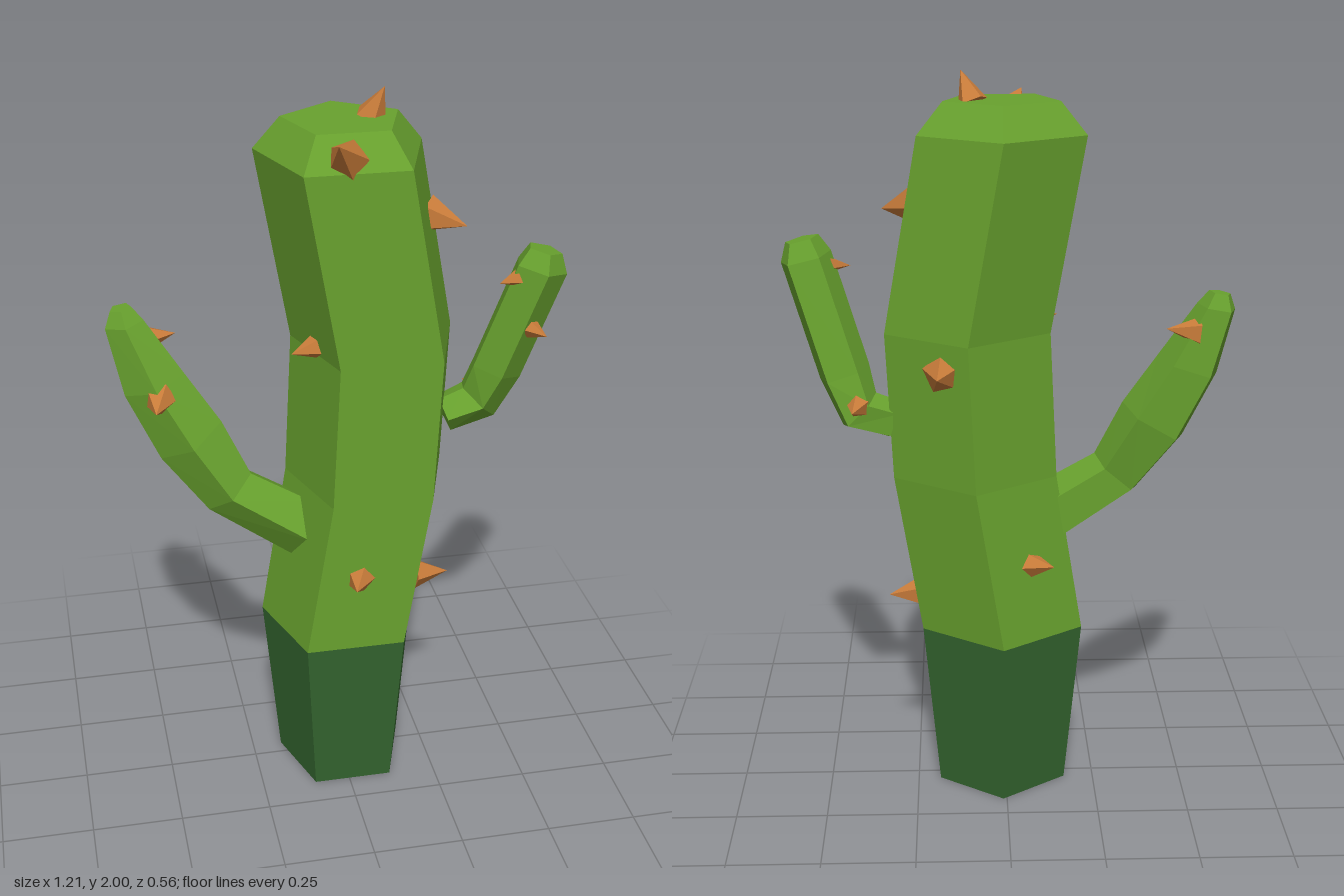
import * as THREE from 'three';

const green = new THREE.MeshStandardMaterial({ color: 0x68a12e });
green.name = 'cactus green';
const darkGreen = new THREE.MeshStandardMaterial({ color: 0x34652f });
darkGreen.name = 'dark base green';
const brown = new THREE.MeshStandardMaterial({ color: 0xc97c3a });
brown.name = 'spike brown';

const SIDES = 5;

// Faceted stem through rings of [x, y, z, radius, tilt in degrees]; both ends are capped.
function stem(rings, turn) {
  const pos = [];
  const tri = (...pts) => pts.forEach(p => pos.push(p.x, p.y, p.z));
  const centre = ([x, y, z]) => new THREE.Vector3(x, y, z);
  const loops = rings.map(([x, y, z, r, tilt = 0]) => {
    const t = THREE.MathUtils.degToRad(tilt);
    return Array.from({ length: SIDES }, (_, j) => {
      const a = turn + (j / SIDES) * Math.PI * 2;
      const u = r * Math.cos(a);
      return new THREE.Vector3(x + u * Math.cos(t), y + u * Math.sin(t), z + r * Math.sin(a));
    });
  });
  const last = loops.length - 1;
  for (let j = 0; j < SIDES; j++) {
    const k = (j + 1) % SIDES;
    for (let i = 0; i < last; i++) {
      const lo = loops[i], hi = loops[i + 1];
      tri(lo[j], hi[j], hi[k]);
      tri(lo[j], hi[k], lo[k]);
    }
    tri(centre(rings[0]), loops[0][j], loops[0][k]);
    tri(centre(rings[last]), loops[last][k], loops[last][j]);
  }
  const geo = new THREE.BufferGeometry();
  geo.setAttribute('position', new THREE.Float32BufferAttribute(pos, 3));
  geo.computeVertexNormals();
  return geo;
}

// Five-sided cone from a base point to a tip.
function spike(base, tip, radius) {
  const a = new THREE.Vector3(...base), b = new THREE.Vector3(...tip);
  const dir = b.clone().sub(a), len = dir.length();
  const geo = new THREE.ConeGeometry(radius, len, SIDES).toNonIndexed();
  geo.computeVertexNormals();
  const mesh = new THREE.Mesh(geo, brown);
  mesh.position.copy(a).add(b).multiplyScalar(0.5);
  mesh.quaternion.setFromUnitVectors(new THREE.Vector3(0, 1, 0), dir.normalize());
  return mesh;
}

export function createModel() {
  const group = new THREE.Group();
  const add = (name, geo, mat) => {
    const mesh = new THREE.Mesh(geo, mat);
    mesh.name = name;
    group.add(mesh);
  };
  const edgeBack = -Math.PI / 2, edgeFront = Math.PI / 2;

  // Dark foot and gently bent trunk with a bevelled top
  add('trunkBase', stem([
    [0.01, 0, 0.015, 0.186],
    [0.01, 0.475, 0.012, 0.232],
  ], edgeBack), darkGreen);
  add('trunk', stem([
    [0.01, 0.475, 0.012, 0.232],
    [0.083, 0.92, 0.012, 0.232],
    [0.102, 1.32, 0.012, 0.232],
    [0.01, 1.84, 0.012, 0.232],
    [0.01, 1.925, 0.01, 0.16],
  ], edgeBack), green);

  // Curved side arms
  add('rightArm', stem([
    [-0.1, 0.775, 0.01, 0.092, 75],
    [-0.305, 0.91, 0, 0.08, 40],
    [-0.402, 1.065, -0.03, 0.1, 30],
    [-0.49, 1.225, -0.05, 0.088, 18],
    [-0.558, 1.39, -0.07, 0.054, 10],
    [-0.565, 1.43, -0.072, 0.03, 10],
  ], edgeFront), green);
  add('leftArm', stem([
    [0.3, 1.07, -0.02, 0.055, -70],
    [0.395, 1.1, -0.025, 0.067, -45],
    [0.435, 1.2, 0, 0.073, -18],
    [0.533, 1.505, 0.05, 0.073, -14],
    [0.542, 1.555, 0.052, 0.048, -14],
  ], edgeFront), green);

  // Spikes: base point, tip, radius
  const spikes = [
    [[0.025, 0.695, 0.18], [-0.005, 0.705, 0.278], 0.045],
    [[0.225, 0.568, -0.01], [0.325, 0.56, -0.015], 0.047],
    [[-0.05, 1.345, 0.07], [-0.145, 1.335, 0.1], 0.045],
    [[-0.06, 0.69, -0.125], [-0.127, 0.7, -0.178], 0.04],
    [[0.165, 1.235, -0.145], [0.182, 1.25, -0.28], 0.058],
    [[0.235, 1.655, 0], [0.328, 1.635, 0.057], 0.052],
    [[-0.012, 1.865, 0.165], [-0.052, 1.93, 0.262], 0.055],
    [[0.085, 1.92, -0.012], [0.115, 2, 0.012], 0.042],
    [[-0.48, 1.2, 0.01], [-0.5, 1.195, 0.1], 0.045],
    [[-0.51, 1.33, -0.095], [-0.422, 1.338, -0.095], 0.04],
    [[0.48, 1.485, 0.06], [0.415, 1.478, 0.078], 0.027],
    [[0.505, 1.345, 0.08], [0.53, 1.345, 0.145], 0.027],
    [[0.395, 1.125, -0.07], [0.408, 1.125, -0.145], 0.032],
  ];
  const spikeGroup = new THREE.Group();
  spikeGroup.name = 'spikes';
  spikes.forEach((s, i) => {
    const mesh = spike(...s);
    mesh.name = `spike${i + 1}`;
    spikeGroup.add(mesh);
  });
  group.add(spikeGroup);
  return group;
}
